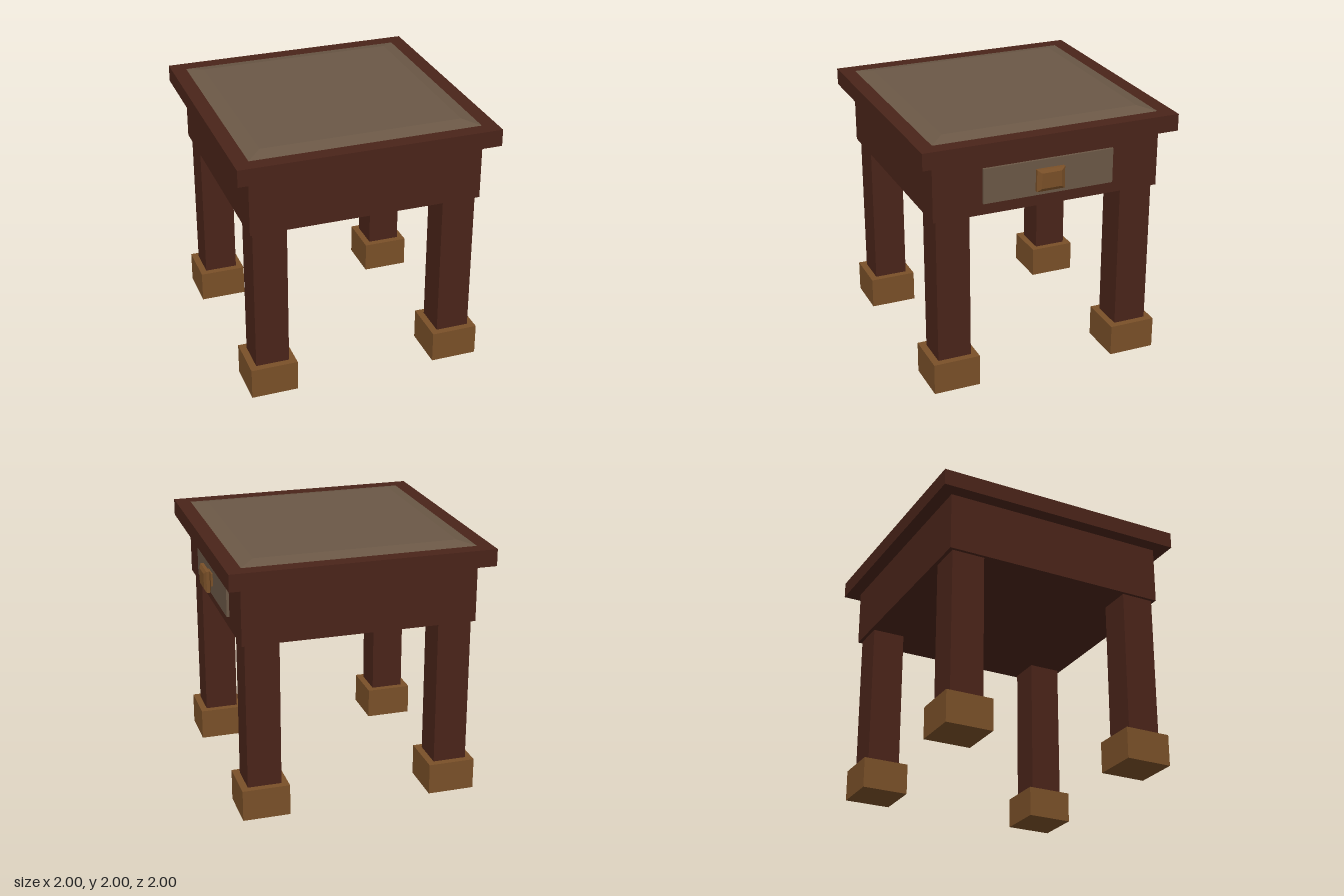
import * as THREE from 'three';

const wood = new THREE.MeshStandardMaterial({ color: 0x4a2419, flatShading: true });
const brass = new THREE.MeshStandardMaterial({ color: 0x7a5028, flatShading: true });
const panel = new THREE.MeshStandardMaterial({ color: 0x6b5846, flatShading: true });

function addMesh(parent, name, geometry, material) {
  const mesh = new THREE.Mesh(geometry, material);
  mesh.name = name;
  parent.add(mesh);
  return mesh;
}

// Box given by its width, depth and bottom and top heights
function slab(parent, name, w, d, y0, y1, material) {
  const mesh = addMesh(parent, name, new THREE.BoxGeometry(w, y1 - y0, d), material);
  mesh.position.y = (y0 + y1) / 2;
  return mesh;
}

// Square-sided solid from [halfWidth, height] steps, bottom to top
function squareProfile(steps) {
  const points = steps.map(([half, y]) => new THREE.Vector2(half * Math.SQRT2, y));
  const geometry = new THREE.LatheGeometry(points, 4, Math.PI / 4).toNonIndexed();
  geometry.computeVertexNormals();
  return geometry;
}

export function createModel() {
  const table = new THREE.Group();
  table.name = 'sideTable';

  // Top with a bevelled raised panel
  slab(table, 'tableTop', 2, 2, 1.845, 1.975, wood);
  addMesh(table, 'topPanel', squareProfile([[0.885, 1.97], [0.885, 1.975], [0.77, 2], [0, 2]]), panel);

  // Drawer case
  slab(table, 'apron', 1.79, 1.79, 1.39, 1.845, wood);

  // Four legs with block feet
  for (const x of [-1, 1]) {
    for (const z of [-1, 1]) {
      const leg = new THREE.Group();
      leg.name = (z > 0 ? 'front' : 'back') + (x > 0 ? 'Left' : 'Right') + 'Leg';
      leg.position.set(x * 0.74, 0, z * 0.737);
      slab(leg, 'post', 0.26, 0.26, 0.245, 1.39, wood);
      slab(leg, 'foot', 0.365, 0.365, 0, 0.245, brass);
      table.add(leg);
    }
  }

  // Drawer front on the +x side
  const drawer = new THREE.Group();
  drawer.name = 'drawer';
  const front = addMesh(drawer, 'drawerFront', new THREE.BoxGeometry(0.04, 0.27, 1.03), panel);
  front.position.set(0.895, 1.615, 0);

  // Knob: stem and bevelled head, its axis turned to point along +x
  const knob = addMesh(drawer, 'knob', squareProfile([
    [0.05, 0], [0.05, 0.02], [0.065, 0.02], [0.085, 0.033], [0.085, 0.057], [0.06, 0.073], [0, 0.073],
  ]).rotateZ(-Math.PI / 2).scale(1, 1, 1.3), brass);
  knob.position.set(0.915, 1.615, 0.013);
  table.add(drawer);

  return table;
}
